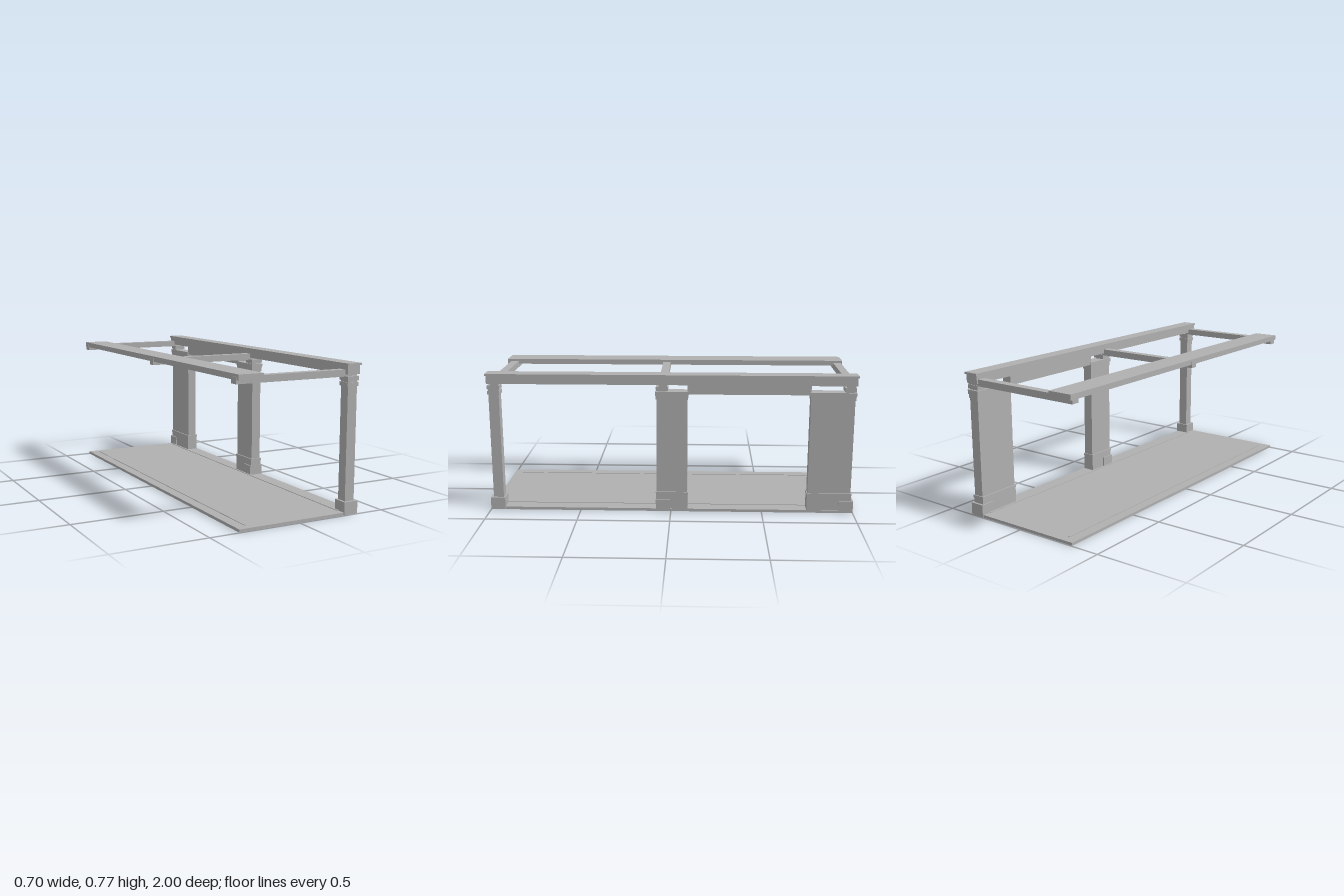
import * as THREE from 'three';

const gray = new THREE.MeshStandardMaterial({ color: 0xb0b0b0 });
gray.name = 'plainGray';

// Box given by its limits on each axis
function box(parent, name, [x0, x1], [y0, y1], [z0, z1]) {
  const mesh = new THREE.Mesh(new THREE.BoxGeometry(x1 - x0, y1 - y0, z1 - z0), gray);
  mesh.name = name;
  mesh.position.set((x0 + x1) / 2, (y0 + y1) / 2, (z0 + z1) / 2);
  parent.add(mesh);
}

function group(parent, name) {
  const g = new THREE.Group();
  g.name = name;
  parent.add(g);
  return g;
}

// Wide pier with stepped base and capital; the plinth stands under its cross beam
function pier(parent, name, z0, z1, plinthZ, bearingZ) {
  const g = group(parent, name);
  const grow = (d) => [z0 - d, z1 + d];
  box(g, 'pierShaft', [0.279, 0.334], [0.015, 0.673], [z0, z1]);
  box(g, 'pierBase', [0.274, 0.339], [0.005, 0.1], grow(0.003));
  box(g, 'baseMoulding', [0.272, 0.341], [0.098, 0.11], grow(0.005));
  box(g, 'capitalBand', [0.275, 0.339], [0.632, 0.66], grow(0.003));
  box(g, 'capitalTop', [0.272, 0.342], [0.652, 0.675], grow(0.006));
  box(g, 'plinth', [0.267, 0.347], [0.002, 0.069], plinthZ);
  box(g, 'bearingNeck', [0.279, 0.335], [0.67, 0.685], [bearingZ[0] + 0.008, bearingZ[1] - 0.008]);
  box(g, 'bearingBlock', [0.273, 0.341], [0.68, 0.702], bearingZ);
}

export function createModel() {
  const model = new THREE.Group();
  model.name = 'pergola';

  // Floor slab with thin inlaid lines along both sides
  box(model, 'floor', [-0.34, 0.343], [0, 0.015], [-0.995, 0.995]);
  for (const x of [-0.281, 0.262]) {
    box(model, 'floorStrip', [x - 0.005, x + 0.005], [0.014, 0.018], [-0.95, 0.95]);
  }

  // Slim front post
  const post = group(model, 'frontPost');
  box(post, 'postPlinth', [0.267, 0.347], [0.002, 0.069], [0.92, 1]);
  box(post, 'postShaft', [0.279, 0.334], [0.069, 0.685], [0.929, 0.985]);
  box(post, 'postCapital', [0.273, 0.34], [0.652, 0.672], [0.924, 0.99]);
  box(post, 'postBearing', [0.273, 0.341], [0.68, 0.702], [0.924, 0.99]);

  // Middle and back piers
  pier(model, 'middlePier', -0.09, 0.078, [0.005, 0.083], [0.015, 0.08]);
  pier(model, 'backPier', -0.985, -0.75, [-1, -0.92], [-0.988, -0.928]);

  // Cross beams
  for (const z of [-0.962, 0.042, 0.95]) {
    box(model, 'crossBeam', [-0.35, 0.343], [0.7, 0.735], [z - 0.022, z + 0.022]);
  }

  // Long beam over the posts, with cap, and a lower rail between the piers
  box(model, 'mainBeam', [0.27, 0.343], [0.712, 0.758], [-0.993, 0.993]);
  box(model, 'beamCap', [0.266, 0.349], [0.756, 0.767], [-0.999, 0.999]);
  box(model, 'lowerRail', [0.279, 0.334], [0.66, 0.714], [-0.75, -0.09]);

  // Broad board on the open side
  box(model, 'sideBoard', [-0.348, -0.211], [0.719, 0.748], [-0.993, 0.993]);

  return model;
}
